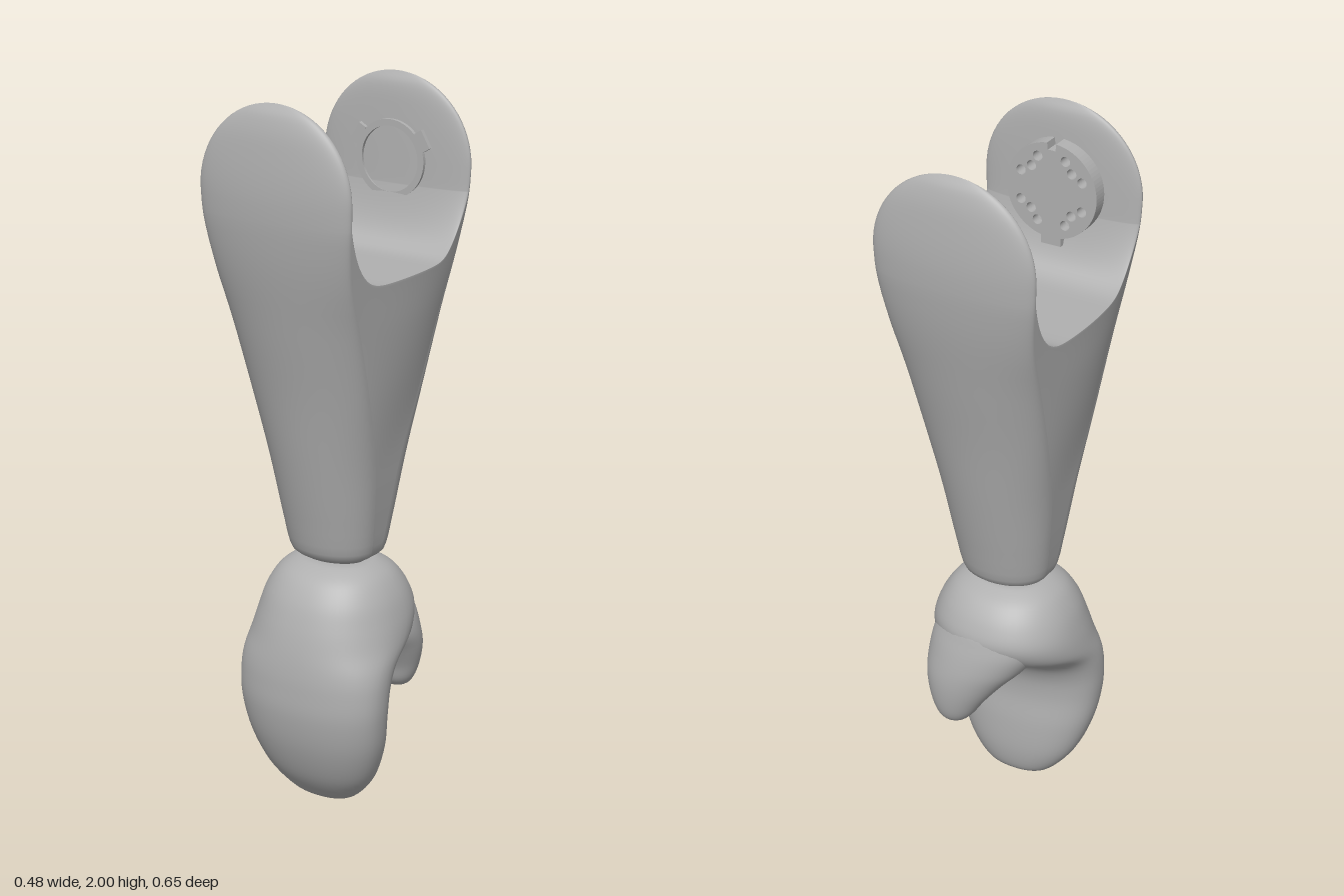
import * as THREE from 'three';
import { mergeGeometries, mergeVertices } from 'three/addons/utils/BufferGeometryUtils.js';

const grey = new THREE.MeshStandardMaterial({ color: 0xb0b0b0 });
grey.name = 'grey plastic';

// Smooth lookup in a table of rows [key, value...]
function at(table, key, col = 1) {
  const n = table.length - 1;
  let i = 0;
  while (i < n - 1 && key > table[i + 1][0]) i++;
  const slope = k => {
    const a = table[Math.max(k - 1, 0)], b = table[Math.min(k + 1, n)];
    return (b[col] - a[col]) / (b[0] - a[0]);
  };
  const p = table[i], q = table[i + 1], h = q[0] - p[0];
  const t = THREE.MathUtils.clamp((key - p[0]) / h, 0, 1), s = 1 - t;
  return p[col] * (1 + 2 * t) * s * s + slope(i) * h * t * s * s
    + q[col] * t * t * (3 - 2 * t) - slope(i + 1) * h * t * t * s;
}

// Surface over two lists of parameters
function grid(us, vs, point, flip = false) {
  const pos = [], index = [], w = us.length;
  for (const v of vs) for (const u of us) pos.push(...point(u, v));
  for (let j = 0; j < vs.length - 1; j++) for (let i = 0; i < w - 1; i++) {
    const a = j * w + i, b = a + 1, c = a + w, d = c + 1;
    index.push(...(flip ? [a, c, b, b, c, d] : [a, b, c, b, d, c]));
  }
  const g = new THREE.BufferGeometry();
  g.setAttribute('position', new THREE.Float32BufferAttribute(pos, 3));
  g.setIndex(index);
  return g;
}

function smooth(parts) {
  const g = mergeVertices(mergeGeometries(parts), 1e-5);
  g.computeVertexNormals();
  return g;
}

const steps = (n, f) => Array.from({ length: n + 1 }, (_, i) => f(i / n));

// Forearm rules by height: half width, outer depth, rim depth, inner depth
const WIDTH = [[0.71, 0.095], [0.73, 0.122], [0.8, 0.137], [1, 0.163], [1.2, 0.185], [1.4, 0.201], [1.55, 0.214], [1.7, 0.232], [1.765, 0.235]];
const OUTER = [[0.71, 0.085], [0.73, 0.115], [0.8, 0.135], [1, 0.18], [1.2, 0.222], [1.4, 0.268], [1.6, 0.31], [1.75, 0.325], [1.9, 0.316], [1.97, 0.3], [2, 0.28]];
const RIM = [[0.71, 0.02], [0.8, 0.03], [1, 0.06], [1.2, 0.12], [1.4, 0.19], [1.55, 0.248], [1.7, 0.278], [2, 0.28]];
const INNER = [[1.7, 0.25], [1.9, 0.257], [1.97, 0.264], [2, 0.28]];
const HUB_Y = 1.765, PAD_R = 0.235, BASE = 0.71, SPLIT = 1.7;

const width = y => y > HUB_Y
  ? Math.sqrt(Math.max(0, PAD_R ** 2 - (y - HUB_Y) ** 2)) : at(WIDTH, y);
const bulge = (v, y) => 0.026 * (1 - v * v) * THREE.MathUtils.smoothstep(y, 1.0, 1.45);
const cut = v => 1.53 + (SPLIT - 1.53) * Math.abs(v) ** 8;

function forearmGeometry() {
  const across = steps(40, t => (t - 0.5) * Math.PI);
  const ts = [0, 1e-4, 0.005, 0.012, 0.02, 0.035, 0.06, ...steps(22, t => 0.1 + 0.86 * t), 0.98, 0.992, 1];
  const ups = [1.72, 1.745, ...steps(18, t => HUB_Y + PAD_R * Math.sin(t * Math.PI / 2))];
  const levels = [...ts.map(t => ({ y: BASE + t * (SPLIT - BASE), k: t ? 1 : 0 })), ...ups.map(y => ({ y, k: 1 }))];
  const parts = [];

  // Outer faces, front and back
  for (const side of [1, -1]) {
    parts.push(grid(across, levels, (a, { y, k }) => {
      const rim = at(RIM, y);
      const z = rim + (at(OUTER, y) - rim) * Math.cos(a);
      return [k * Math.sin(a) * width(y), y, k * side * z];
    }, side < 0));
  }

  // Inside of the fork: down one paddle, over the saddle, up the other
  const half = steps(24, t => 1 - (1 - t) ** 2);
  const vs = [...half.slice(1).reverse().map(v => -v), ...half];
  const path = [
    ...[...ups].reverse().map(y => ({ v: -1, y })),
    ...vs.map(v => ({ v, y: cut(v) })),
    ...ups.map(y => ({ v: 1, y })),
  ];
  parts.push(grid(across, path, (a, { v, y }) => {
    const zin = v * (y > SPLIT ? at(INNER, y) : 0.25);
    const z = zin + (v * at(RIM, y) - zin) * (1 - Math.cos(a));
    return [Math.sin(a) * (width(y) + bulge(v, y)), y, z];
  }, true));

  // Gently bulging sides
  for (const side of [1, -1]) {
    parts.push(grid(vs, ts, (v, t) => {
      const y = BASE + t * (cut(v) - BASE), k = t ? 1 : 0;
      return [k * side * (width(y) + bulge(v, y)), y, k * v * at(RIM, y)];
    }, side > 0));
  }
  return smooth(parts);
}

// Closed oval loft, rows [y, centre x, back z, front z, half width] from bottom to top
function loft(rows, power = 2) {
  const table = rows.map((r, i) => [i, ...r]);
  const ring = steps(56, t => t * 2 * Math.PI);
  const round = c => Math.sign(c) * Math.abs(c) ** (2 / power);
  return smooth([grid(ring, steps((rows.length - 1) * 5, t => t * (rows.length - 1)), (a, k) => {
    const [y, cx, back, front, hx] = [1, 2, 3, 4, 5].map(c => at(table, k, c));
    const s = a > 6.28 ? 0 : a;
    return [cx + hx * round(Math.sin(s)), y, (front + back) / 2 + (front - back) / 2 * round(Math.cos(s))];
  })]);
}

export function createModel() {
  const model = new THREE.Group();
  const add = (name, geometry, parent = model) => {
    const mesh = new THREE.Mesh(geometry, grey);
    mesh.name = name;
    parent.add(mesh);
    return mesh;
  };

  add('forearm', forearmGeometry());
  add('wristPin', new THREE.CylinderGeometry(0.075, 0.075, 0.06, 32)).position.y = 0.705;

  // Mitten hand
  add('palmAndFingers', loft([
    [0, 0, 0.05, 0.05, 0], [0.006, 0, 0.025, 0.09, 0.06], [0.03, 0, 0, 0.125, 0.11], [0.1, 0, -0.014, 0.176, 0.168],
    [0.2, 0, -0.014, 0.217, 0.208], [0.3, 0, -0.006, 0.238, 0.225], [0.38, 0, -0.018, 0.24, 0.229],
    [0.44, 0, -0.06, 0.236, 0.228], [0.5, 0, -0.16, 0.226, 0.223], [0.56, 0, -0.198, 0.21, 0.212],
    [0.62, 0, -0.182, 0.186, 0.192], [0.67, 0, -0.145, 0.15, 0.16], [0.698, 0, -0.1, 0.105, 0.12],
    [0.705, 0, -0.07, 0.07, 0.085], [0.706, 0, 0, 0, 0],
  ], 2.2));
  add('thumb', loft([
    [0.278, 0.085, -0.168, -0.168, 0], [0.284, 0.085, -0.195, -0.14, 0.032], [0.31, 0.083, -0.212, -0.115, 0.058],
    [0.36, 0.076, -0.223, -0.095, 0.085], [0.42, 0.06, -0.227, -0.055, 0.118], [0.48, 0.035, -0.222, 0, 0.15],
    [0.55, 0.01, -0.206, 0.02, 0.165], [0.61, 0, -0.18, 0.03, 0.14], [0.65, 0, -0.1, 0, 0.08], [0.66, 0, -0.05, -0.05, 0],
  ]));

  // Joint disc with four groups of three holes, inside the front paddle
  const frontHub = new THREE.Group();
  frontHub.name = 'frontHub';
  frontHub.position.set(0, HUB_Y, 0.215);
  model.add(frontHub);
  const notch = 0.1, top = Math.PI / 2;
  const disc = new THREE.Shape();
  disc.absarc(0, 0, 0.135, top + notch, top - notch + 2 * Math.PI, false);
  disc.absarc(0, 0, 0.115, top - notch, top + notch, false);
  for (let q = 0; q < 4; q++) for (const d of [-0.36, 0, 0.36]) {
    const a = q * Math.PI / 2 + Math.PI / 4 + d, r = d ? 0.1 : 0.085;
    disc.holes.push(new THREE.Path().absarc(r * Math.cos(a), r * Math.sin(a), 0.014, 0, 2 * Math.PI, true));
  }
  add('holedDisc', new THREE.ExtrudeGeometry(disc, { depth: 0.045, bevelEnabled: false, curveSegments: 40 }), frontHub);
  add('lowerTab', new THREE.BoxGeometry(0.06, 0.03, 0.04), frontHub).position.set(0, -0.14, 0.02);

  // Low socket ring with three tabs, inside the back paddle
  const backHub = new THREE.Group();
  backHub.name = 'backHub';
  backHub.position.set(0, HUB_Y, -0.262);
  model.add(backHub);
  const ring = new THREE.Shape().absarc(0, 0, 0.108, 0, 2 * Math.PI, false);
  ring.holes.push(new THREE.Path().absarc(0, 0, 0.09, 0, 2 * Math.PI, true));
  add('socketRing', new THREE.ExtrudeGeometry(ring, { depth: 0.017, bevelEnabled: false, curveSegments: 40 }), backHub);
  for (let i = 0; i < 3; i++) {
    const a = Math.PI / 6 + i * 2 * Math.PI / 3;
    const tab = add('socketTab', new THREE.BoxGeometry(0.025, 0.055, 0.017), backHub);
    tab.position.set(0.118 * Math.cos(a), 0.118 * Math.sin(a), 0.0085);
    tab.rotation.z = a;
  }
  return model;
}
